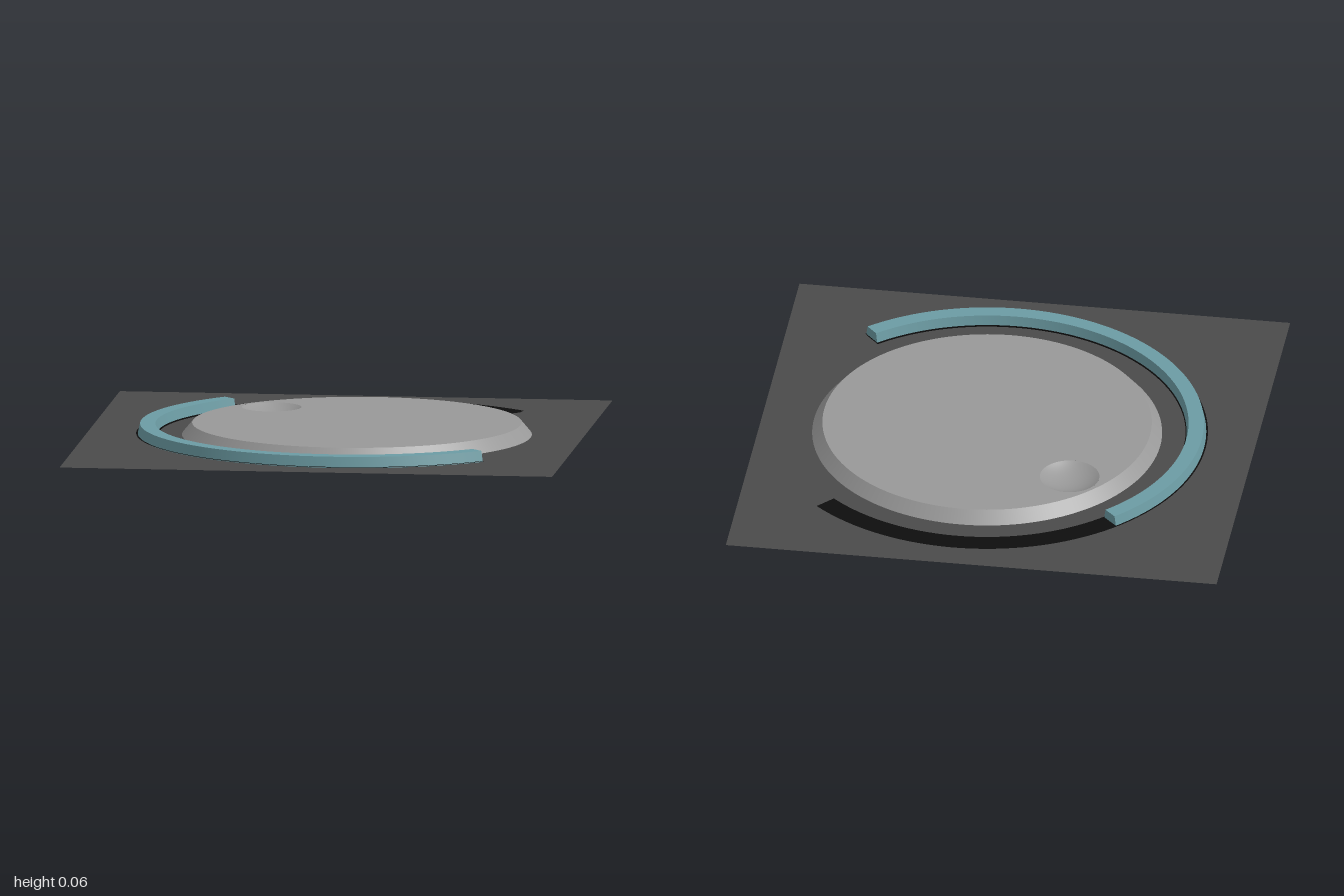
import * as THREE from 'three';
import { toCreasedNormals } from 'three/addons/utils/BufferGeometryUtils.js';

const CENTER_X = 0.085;
const rad = THREE.MathUtils.degToRad;

function material(name, color, side = THREE.FrontSide) {
  const m = new THREE.MeshStandardMaterial({ color, side });
  m.name = name;
  return m;
}

function mesh(name, geometry, mat) {
  const m = new THREE.Mesh(geometry, mat);
  m.name = name;
  return m;
}

// Sweeps a closed [radius, height] profile around the dial and caps both ends
function arcBar(name, profile, startDeg, endDeg, mat) {
  const group = new THREE.Group();
  group.name = name;
  const points = profile.map(([r, y]) => new THREE.Vector2(r, y));
  const lathe = new THREE.LatheGeometry([...points, points[0].clone()], 96, rad(startDeg), rad(endDeg - startDeg));
  group.add(mesh(name + 'Body', toCreasedNormals(lathe, 0.2), mat));
  for (const angle of [startDeg, endDeg]) {
    const cap = mesh(name + 'End', new THREE.ShapeGeometry(new THREE.Shape(points)), mat);
    cap.rotation.y = rad(angle - 90);
    group.add(cap);
  }
  return group;
}

export function createModel() {
  const plateGrey = material('plateGrey', 0x4b4b4b, THREE.DoubleSide);
  const dialGrey = material('dialGrey', 0x999999);
  const trackBlack = material('trackBlack', 0x0d0d0d, THREE.DoubleSide);
  const levelTeal = material('levelTeal', 0x6c9ca4, THREE.DoubleSide);

  const model = new THREE.Group();
  model.name = 'dialPanel';

  // Square backing sheet
  const plate = mesh('backingPlate', new THREE.PlaneGeometry(2, 2), plateGrey);
  plate.rotation.x = -Math.PI / 2;
  plate.position.y = 0.0128;
  model.add(plate);

  // Everything round shares one centre
  const control = new THREE.Group();
  control.name = 'rotaryControl';
  control.position.x = CENTER_X;
  model.add(control);

  // Full track, with the raised level arc over part of it
  control.add(arcBar('track', [[0.83, 0], [0.89, 0.018], [0.8, 0.018], [0.8, 0]], -222, 42, trackBlack));
  control.add(arcBar('levelArc',
    [[0.835, 0], [0.884, 0.0145], [0.874, 0.058], [0.812, 0.058], [0.803, 0.016]], -135.5, 42, levelTeal));

  // Dial: sloped rim, base disc, top face with a hole for the finger dimple
  const dial = new THREE.Group();
  dial.name = 'dial';
  control.add(dial);
  const topY = 0.062, baseY = 0.012, dimpleR = 0.12, dimpleX = -0.39, dimpleZ = -0.357;

  const rim = new THREE.LatheGeometry([new THREE.Vector2(0.706, baseY), new THREE.Vector2(0.664, topY)], 128);
  dial.add(mesh('dialRim', rim, dialGrey));

  const base = mesh('dialBase', new THREE.CircleGeometry(0.706, 128), dialGrey);
  base.rotation.x = Math.PI / 2;
  base.position.y = baseY;
  dial.add(base);

  const face = new THREE.Shape().absarc(0, 0, 0.664, 0, Math.PI * 2);
  face.holes.push(new THREE.Path().absarc(dimpleX, -dimpleZ, dimpleR, 0, Math.PI * 2, true));
  const top = mesh('dialTop', new THREE.ShapeGeometry(face, 64), dialGrey);
  top.rotation.x = -Math.PI / 2;
  top.position.y = topY;
  dial.add(top);

  // Concave bowl, swept from its lowest point up to the lip
  const depth = 0.035;
  const bowlR = (dimpleR * dimpleR + depth * depth) / (2 * depth);
  const lipAngle = Math.asin(dimpleR / bowlR);
  const bowl = [];
  for (let i = 10; i >= 0; i--) {
    const a = (lipAngle * i) / 10;
    bowl.push(new THREE.Vector2(bowlR * Math.sin(a), bowlR - depth - bowlR * Math.cos(a)));
  }
  const dimple = mesh('fingerDimple', new THREE.LatheGeometry(bowl, 64), dialGrey);
  dimple.position.set(dimpleX, topY, dimpleZ);
  dial.add(dimple);

  return model;
}
